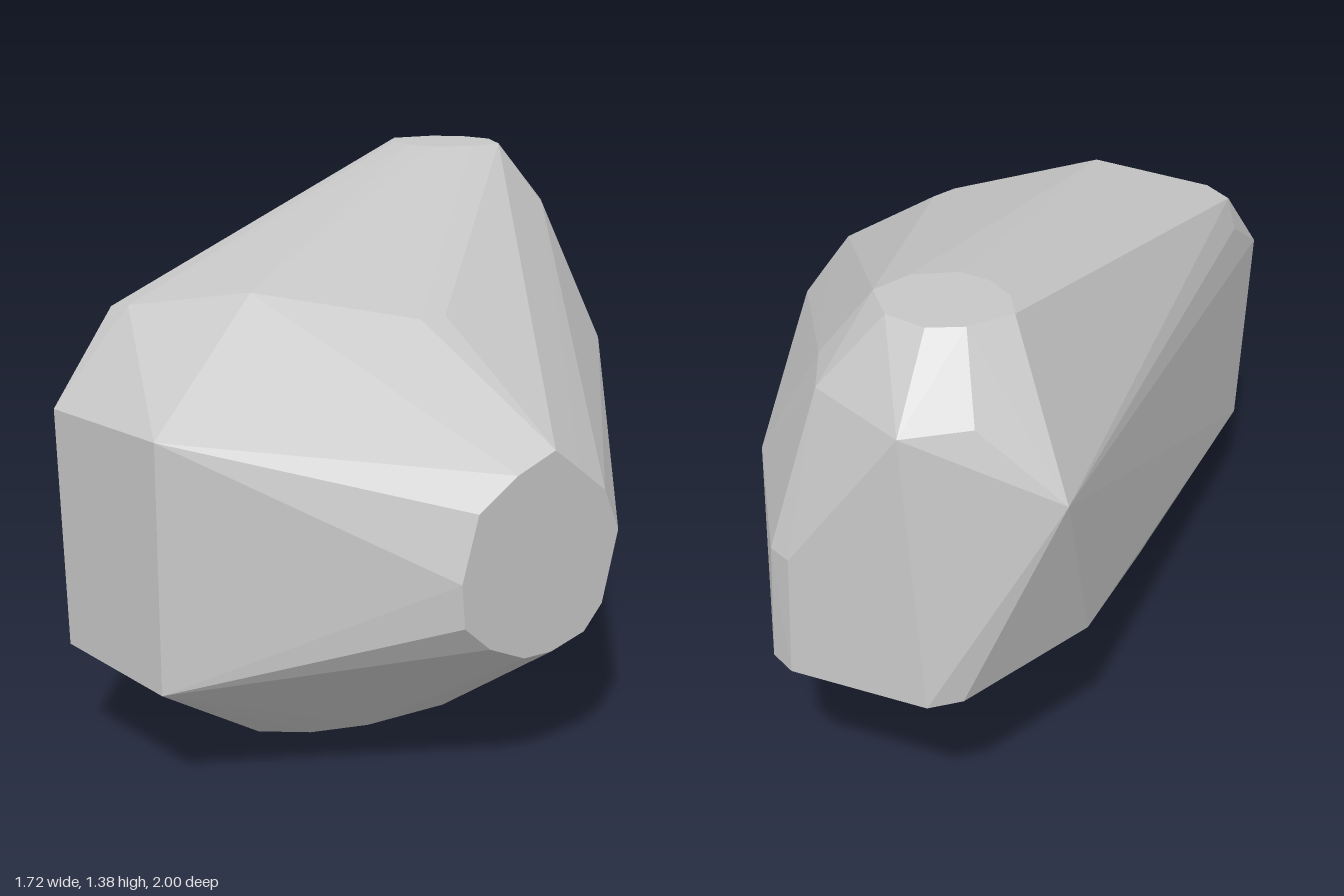
import * as THREE from 'three';
import { ConvexGeometry } from 'three/addons/geometries/ConvexGeometry.js';

// A faceted boulder: the convex hull of a few rings of corner points.
export function createModel() {
  const group = new THREE.Group();
  group.name = 'boulder';
  const stone = new THREE.MeshStandardMaterial({ color: 0xc7c7c7, flatShading: true });
  stone.name = 'stone grey';

  // Round flat cut on the +x side, as [y, z]
  const sideCut = [
    [0.84, 0.2], [0.8, 0.32], [0.73, 0.44], [0.57, 0.49], [0.46, 0.48], [0.39, 0.4], [0.34, 0.29],
    [0.335, 0.2], [0.36, 0.09], [0.42, 0.03], [0.6, -0.02], [0.71, 0.03], [0.78, 0.12],
  ].map(([y, z]) => [0.857, y, z]);

  // Small flat cap on the peak, as [x, z]
  const peakCap = [
    [-0.31, -0.68], [-0.42, -0.74], [-0.53, -0.72], [-0.59, -0.65], [-0.62, -0.53],
    [-0.55, -0.475], [-0.46, -0.455], [-0.38, -0.475], [-0.31, -0.57],
  ].map(([x, z]) => [x, 1.385, z]);

  // Flat front face and the shoulder above it
  const front = [[-0.08, 0.885, 1], [0.37, 0.895, 1], [0.37, 0.275, 1], [-0.05, 0.28, 1]];
  const shoulder = [
    [-0.17, 1.02, 0.79], [-0.14, 1.105, 0.79], [-0.06, 1.12, 0.79],
    [0.21, 1.17, 0.61], [0.46, 1.1, 0.28], [0.46, 1.1, 0.2],
  ];

  // Back corners, from the upper ring down to the lower one
  const back = [
    [-0.2, 1.21, -0.76], [-0.31, 1.2, -0.86], [-0.6, 1.19, -0.87], [-0.7, 1.2, -0.73],
    [-0.865, 1.02, -0.6],
    [0.05, 0.84, -0.76], [-0.27, 0.8, -0.985], [-0.34, 0.8, -0.99],
    [0.05, 0.49, -0.76], [-0.26, 0.485, -0.99], [-0.34, 0.485, -1],
    [-0.67, 0.485, -0.86], [-0.71, 0.485, -0.78], [-0.71, 0.485, -0.36],
  ];

  // Underside
  const base = [
    [-0.15, 0, -0.32], [-0.17, 0.06, 0.44], [0.05, 0.02, 0.61], [0.21, 0.02, 0.61],
    [0.3, 0.02, 0.51], [0.41, 0.05, 0.41], [0.46, 0.065, 0.2], [0.3, 0.025, 0.05],
  ];

  const corners = [...sideCut, ...peakCap, ...front, ...shoulder, ...back, ...base];
  const rock = new THREE.Mesh(new ConvexGeometry(corners.map((p) => new THREE.Vector3(...p))), stone);
  rock.name = 'rock';
  group.add(rock);
  return group;
}
